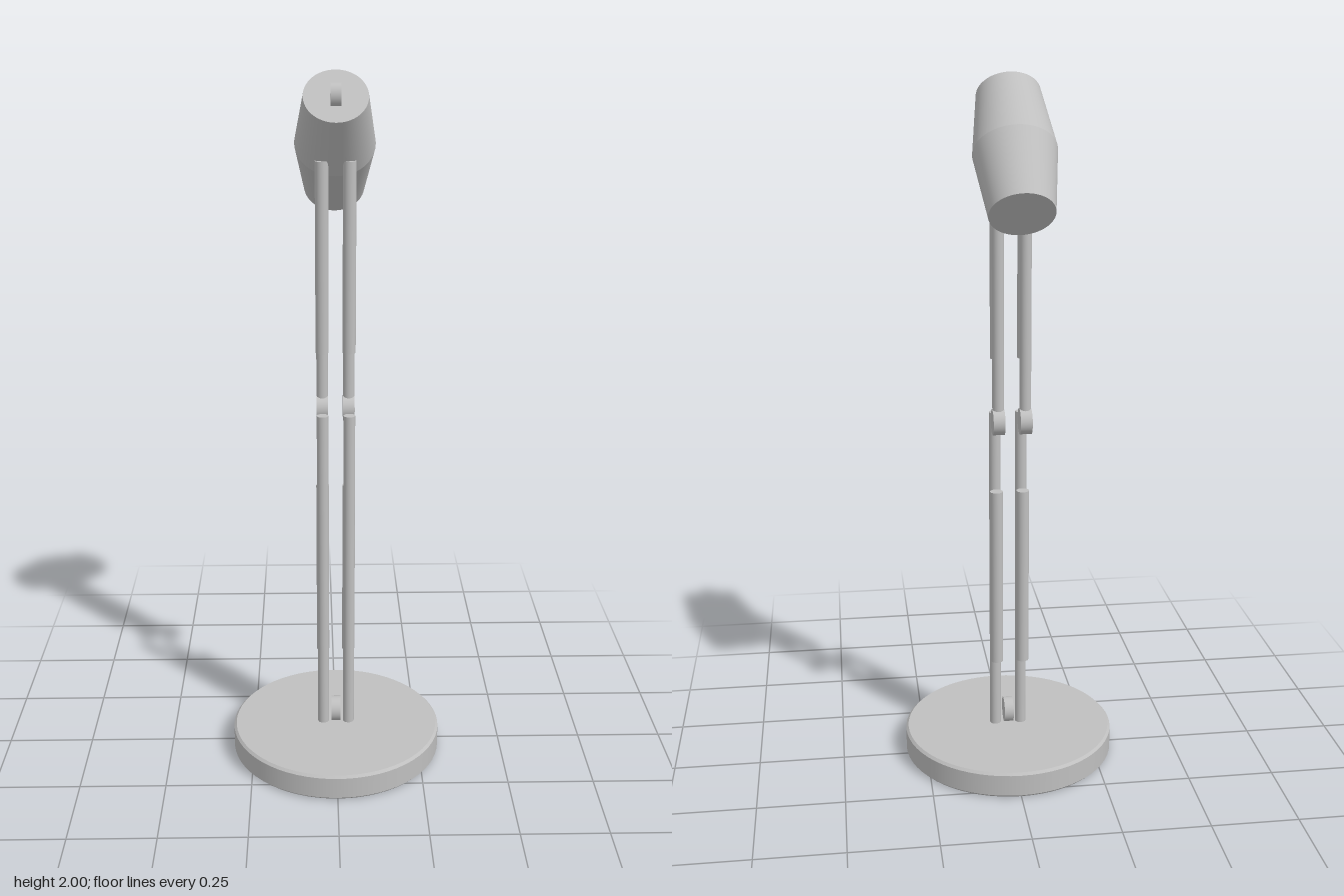
import * as THREE from 'three';

export function createModel() {
  const model = new THREE.Group();
  model.name = 'deskLamp';
  const grey = new THREE.MeshStandardMaterial({ color: 0xbfbfbf });
  grey.name = 'plain grey';

  const add = (name, geometry, x, y, z, parent = model) => {
    const mesh = new THREE.Mesh(geometry, grey);
    mesh.name = name;
    mesh.position.set(x, y, z);
    parent.add(mesh);
    return mesh;
  };
  // Upright round rod between two heights
  const rod = (name, r, y0, y1, x, z) =>
    add(name, new THREE.CylinderGeometry(r, r, y1 - y0, 24), x, (y0 + y1) / 2, z);
  // Hinge disc with its axis along x
  const disc = (name, r, width, x, y, z) => {
    add(name, new THREE.CylinderGeometry(r, r, width, 32), x, y, z).rotation.z = Math.PI / 2;
  };
  // Solid of revolution with crisp edges: one lathe band per profile segment
  const turned = (name, profile, parent) => {
    for (let i = 0; i < profile.length - 1; i++) {
      const band = profile.slice(i, i + 2).map(([r, y]) => new THREE.Vector2(r, y));
      add(name, new THREE.LatheGeometry(band, 64), 0, 0, 0, parent);
    }
  };

  // Round base with softly bevelled rims
  const base = new THREE.Group();
  base.name = 'base';
  base.position.z = 0.02;
  model.add(base);
  turned('baseDisc', [[0, 0], [0.303, 0], [0.31, 0.007], [0.31, 0.07], [0.303, 0.077], [0, 0.077]], base);
  disc('baseHinge', 0.037, 0.027, 0, 0.118, 0.021);

  // Paired arms, springs and elbow hinges
  for (const [side, x] of [['left', 0.038], ['right', -0.038]]) {
    rod(side + 'LowerArm', 0.0165, 0.07, 1.06, x, 0.023);
    rod(side + 'LowerSpring', 0.0185, 0.302, 0.834, x, -0.0185);
    rod(side + 'UpperArm', 0.0165, 1.055, 1.765, x, -0.063);
    rod(side + 'UpperSpring', 0.0185, 1.23, 1.765, x, -0.0295);
    disc(side + 'ElbowHinge', 0.037, 0.033, x, 1.055, -0.063);
  }

  // Barrel-shaped lamp head, tilted 45 degrees down towards the back
  const head = new THREE.Group();
  head.name = 'head';
  head.position.set(0, 1.8, -0.128);
  head.rotation.x = Math.PI / 4;
  model.add(head);
  turned('shade', [[0, -0.198], [0.087, -0.198], [0.112, 0], [0.087, 0.198], [0, 0.198]], head);
  disc('headHinge', 0.033, 0.028, 0, 1.943, 0.016);

  return model;
}
